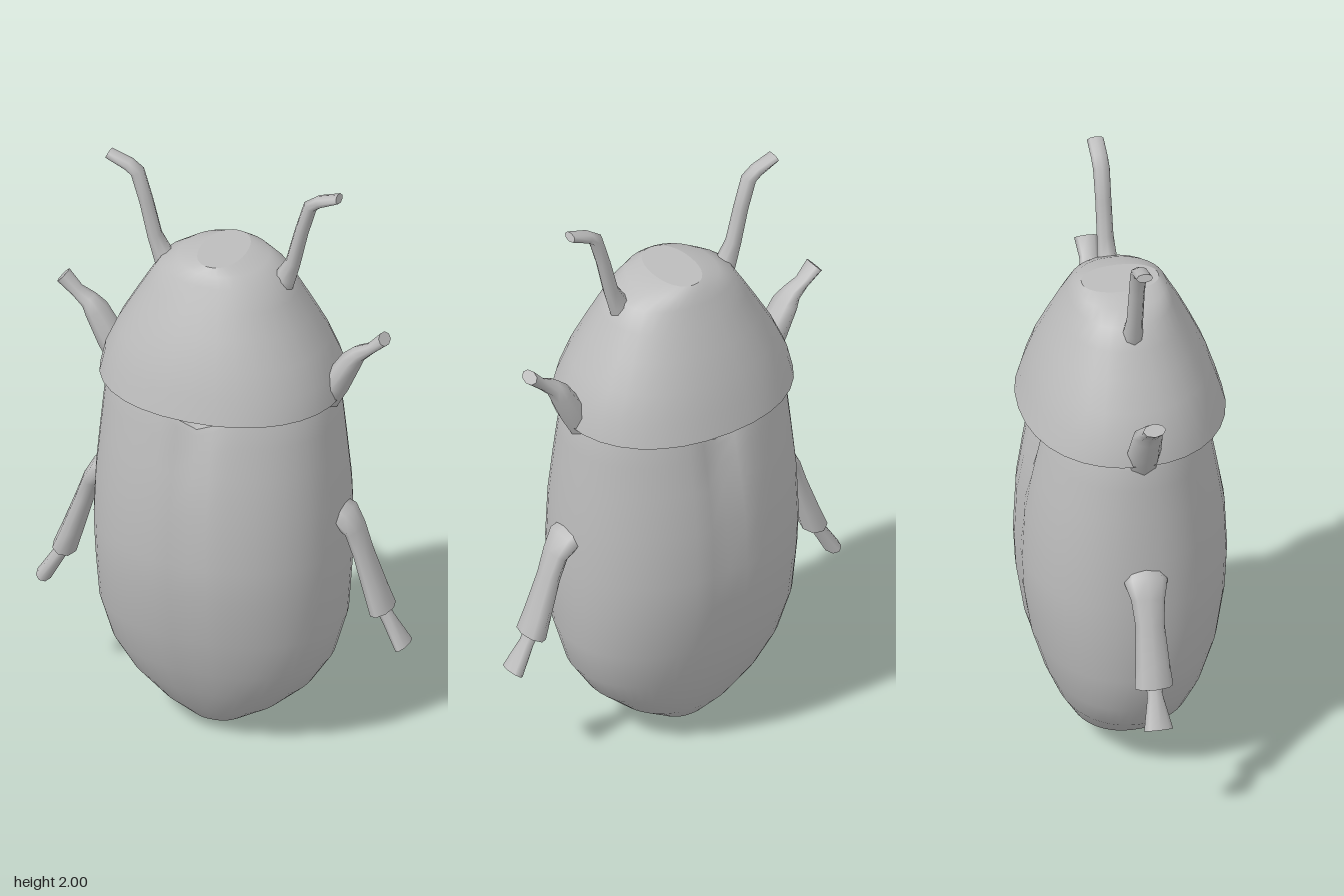
import * as THREE from 'three';

const shell = new THREE.MeshStandardMaterial({ color: 0xbcbcbc });
shell.name = 'plain grey';

// Skin a stack of rings (each counter-clockwise about the path), with flat end caps
function loft(rings) {
  const n = rings[0].length;
  const pos = [], idx = [];
  rings.forEach(r => r.forEach(p => pos.push(...p)));
  for (let i = 0; i < rings.length - 1; i++) {
    for (let j = 0; j < n; j++) {
      const k = (j + 1) % n;
      const a = i * n + j, b = i * n + k, c = b + n, d = a + n;
      idx.push(a, b, c, a, c, d);
    }
  }
  // Caps are strips joining the front half of a ring to its back half
  [[rings[0], true], [rings[rings.length - 1], false]].forEach(([ring, flip]) => {
    const base = pos.length / 3;
    ring.forEach(p => pos.push(...p));
    const at = j => base + (j + n) % n;
    for (let j = -n / 4; j < n / 4; j++) {
      const a = at(j), b = at(j + 1), c = at(n / 2 - j - 1), d = at(n / 2 - j);
      if (flip) idx.push(a, c, b, a, d, c);
      else idx.push(a, b, c, a, c, d);
    }
  });
  const g = new THREE.BufferGeometry();
  g.setAttribute('position', new THREE.Float32BufferAttribute(pos, 3));
  g.setIndex(idx);
  g.computeVertexNormals();
  return g;
}

// Horizontal, slightly squared oval
function oval(y, rx, rz, n, shape = (x, py, z) => [x, py, z]) {
  const soft = v => Math.sign(v) * Math.pow(Math.abs(v), 0.92);
  return Array.from({ length: n }, (_, j) => {
    const t = j / n * Math.PI * 2;
    return shape(rx * soft(Math.sin(t)), y, rz * soft(Math.cos(t)));
  });
}

// Limb along points [x, y, radius across, radius in z], mirrored by side
function limb(points, side, n = 8) {
  const p = points.map(q => new THREE.Vector2(q[0] * side, q[1]));
  return loft(points.map(([, , r, rz], i) => {
    const t = p[Math.min(i + 1, p.length - 1)].clone().sub(p[Math.max(i - 1, 0)]).normalize();
    return Array.from({ length: n }, (_, j) => {
      const a = j / n * Math.PI * 2, u = Math.cos(a) * r;
      return [p[i].x - t.y * u, p[i].y + t.x * u, Math.sin(a) * rz];
    });
  }));
}

export function createModel() {
  const model = new THREE.Group();
  model.name = 'beetle';
  const add = (name, geometry) => {
    const mesh = new THREE.Mesh(geometry, shell);
    mesh.name = name;
    model.add(mesh);
  };

  // Wing cases: oval body with a centre seam and a notch at the top
  const bodyRows = [
    [0, 0.02, 0.04], [0.04, 0.1, 0.115], [0.1, 0.2, 0.165], [0.19, 0.3, 0.215],
    [0.29, 0.365, 0.257], [0.43, 0.405, 0.3], [0.6, 0.415, 0.327], [0.72, 0.42, 0.333],
    [0.9, 0.413, 0.325], [1.05, 0.4, 0.302], [1.16, 0.39, 0.283], [1.235, 0.382, 0.268], [1.256, 0.372, 0.26],
  ];
  const seam = (x, y, z) => {
    const groove = (0.015 + 0.07 * Math.pow(y / 1.26, 3)) * Math.exp(-((x / 0.035) ** 2));
    const notch = Math.max(0, 1 - Math.abs(x) / 0.125) * 0.075 * THREE.MathUtils.smoothstep(y, 0.9, 1.25);
    return [x, y - notch, z * (1 - groove)];
  };
  add('wingCases', loft(bodyRows.map(([y, rx, rz]) => oval(y, rx, rz, 48, seam))));

  // Domed head shield with a flat underside
  const headRows = [
    [1.26, 0.4, 0.33], [1.34, 0.383, 0.307], [1.43, 0.343, 0.278], [1.52, 0.292, 0.238],
    [1.6, 0.245, 0.2], [1.665, 0.205, 0.165], [1.7, 0.145, 0.148], [1.718, 0.075, 0.125],
  ];
  add('headShield', loft(headRows.map(([y, rx, rz]) => oval(y, rx, rz, 32))));

  // Antennae and legs, one of each per side
  const antenna = [
    [0.17, 1.58, 0.05, 0.045], [0.21, 1.66, 0.035, 0.032], [0.236, 1.72, 0.025, 0.027],
    [0.265, 1.84, 0.023, 0.026], [0.295, 1.94, 0.023, 0.027], [0.325, 1.962, 0.02, 0.027],
    [0.393, 1.988, 0.014, 0.027],
  ];
  const frontLeg = [
    [0.34, 1.24, 0.05, 0.055], [0.385, 1.31, 0.045, 0.055], [0.435, 1.4, 0.036, 0.05],
    [0.46, 1.43, 0.027, 0.037], [0.5, 1.457, 0.018, 0.03], [0.548, 1.503, 0.022, 0.037],
  ];
  const thigh = [
    [0.36, 0.85, 0.04, 0.055], [0.415, 0.825, 0.04, 0.07], [0.448, 0.78, 0.03, 0.055],
    [0.475, 0.7, 0.031, 0.047], [0.515, 0.58, 0.036, 0.055], [0.542, 0.503, 0.04, 0.062],
  ];
  const foot = [
    [0.53, 0.53, 0.025, 0.025], [0.56, 0.475, 0.022, 0.026], [0.613, 0.385, 0.026, 0.047],
  ];
  for (const [side, label] of [[1, 'left'], [-1, 'right']]) {
    add(label + 'Antenna', limb(antenna, side));
    add(label + 'FrontLeg', limb(frontLeg, side));
    add(label + 'BackLeg', limb(thigh, side));
    add(label + 'BackFoot', limb(foot, side));
  }
  return model;
}
